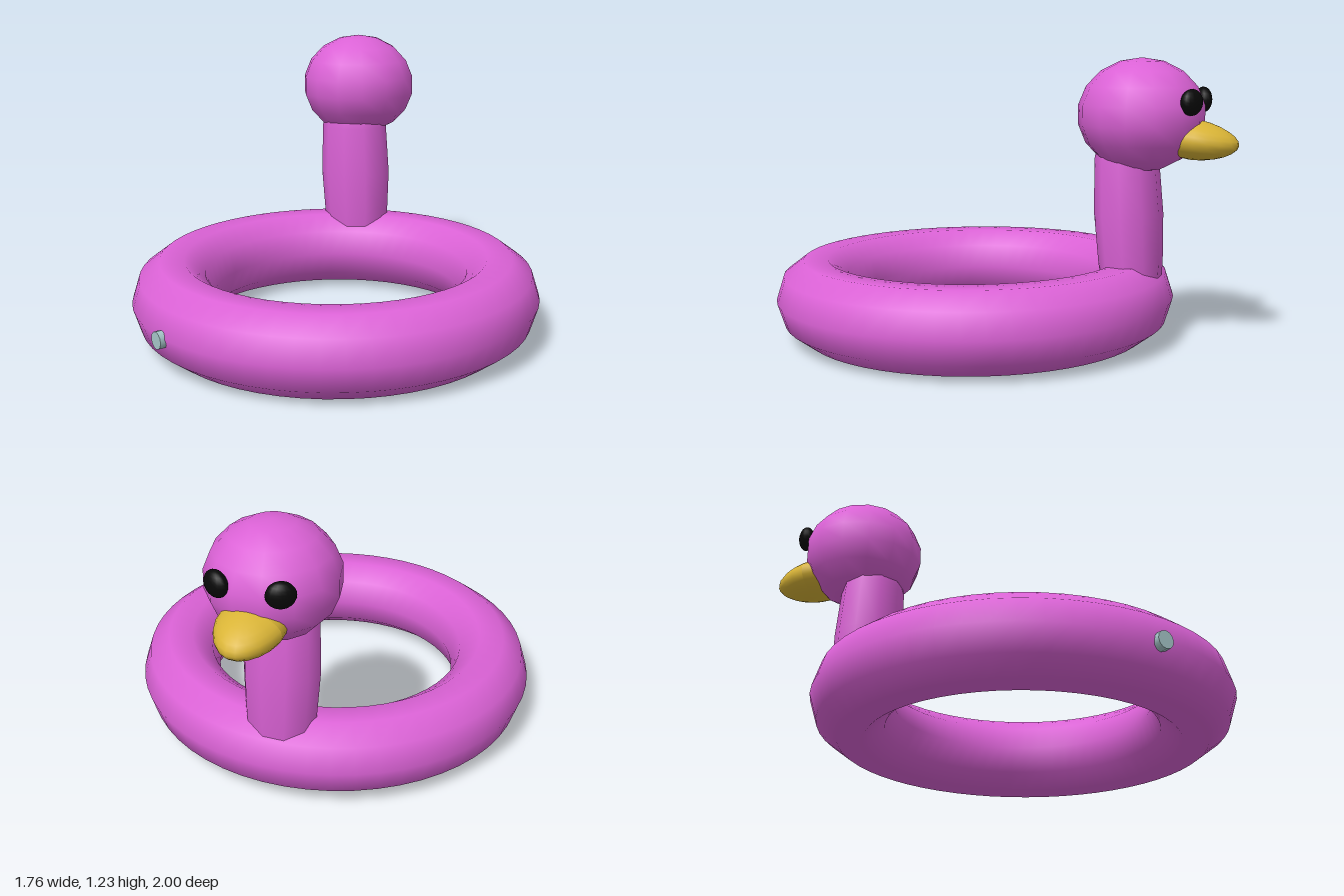
import * as THREE from 'three';

export function createModel() {
  const group = new THREE.Group();
  const material = (name, color) => {
    const m = new THREE.MeshStandardMaterial({ color });
    m.name = name;
    return m;
  };
  const pink = material('pink vinyl', 0xdb62d6);
  const yellow = material('beak yellow', 0xd9b436);
  const black = material('eye black', 0x080808);
  const grey = material('valve grey', 0xa5c5c8);

  const add = (parent, name, geometry, mat, x, y, z) => {
    const mesh = new THREE.Mesh(geometry, mat);
    mesh.name = name;
    mesh.position.set(x, y, z);
    parent.add(mesh);
    return mesh;
  };

  // Inflated ring, resting with a very slight tilt
  const ringGeometry = new THREE.TorusGeometry(0.708, 0.173, 10, 56);
  ringGeometry.rotateX(-Math.PI / 2).scale(1, 1.03, 1).rotateX(0.011);
  add(group, 'swimRing', ringGeometry, pink, 0, 0.182, 0.12);

  // Air valve on the outside of the ring
  const valve = add(group, 'airValve', new THREE.CylinderGeometry(0.036, 0.036, 0.04, 12),
    grey, -0.415, 0.165, 0.895);
  valve.rotation.set(Math.PI / 2, 0, Math.atan2(0.415, 0.775));

  // Neck: an oval column, slightly fuller in the middle and leaning forward
  const neckProfile = [[0.135, 0.2], [0.156, 0.36], [0.167, 0.57], [0.156, 0.8], [0.14, 0.86]]
    .map(([r, y]) => new THREE.Vector2(r, y));
  const neckGeometry = new THREE.LatheGeometry(neckProfile, 10);
  neckGeometry.scale(1, 1, 0.84);
  const p = neckGeometry.attributes.position;
  for (let i = 0; i < p.count; i++) p.setZ(i, p.getZ(i) + (p.getY(i) - 0.35) * 0.06);
  add(group, 'neck', neckGeometry, pink, -0.185, 0, -0.566);

  // Head group looks along its own -z, turned a little to the side
  const head = new THREE.Group();
  head.name = 'head';
  head.position.set(-0.19, 0.992, -0.6);
  head.rotation.y = 0.24;
  group.add(head);
  const skull = new THREE.SphereGeometry(0.268, 14, 9);
  skull.scale(1, 0.89, 1);
  add(head, 'skull', skull, pink, 0, 0, 0);

  // Flattened oval eyes, mirrored
  for (const side of [-1, 1]) {
    const eye = add(head, side < 0 ? 'rightEye' : 'leftEye',
      new THREE.SphereGeometry(1, 16, 12), black, side * 0.126, 0.062, -0.235);
    eye.scale.set(0.058, 0.054, 0.035);
    eye.rotation.y = -side * 0.48;
  }

  // Rounded beak, broad at the face and tapering forward
  const beakGeometry = new THREE.SphereGeometry(1, 18, 12);
  const b = beakGeometry.attributes.position;
  for (let i = 0; i < b.count; i++) {
    const taper = 1 + 0.18 * b.getZ(i);
    b.setXYZ(i, b.getX(i) * 0.132 * taper, b.getY(i) * 0.082 * taper, b.getZ(i) * 0.165);
  }
  beakGeometry.computeVertexNormals();
  add(head, 'beak', beakGeometry, yellow, 0, -0.1, -0.245).rotation.x = -0.12;

  return group;
}
